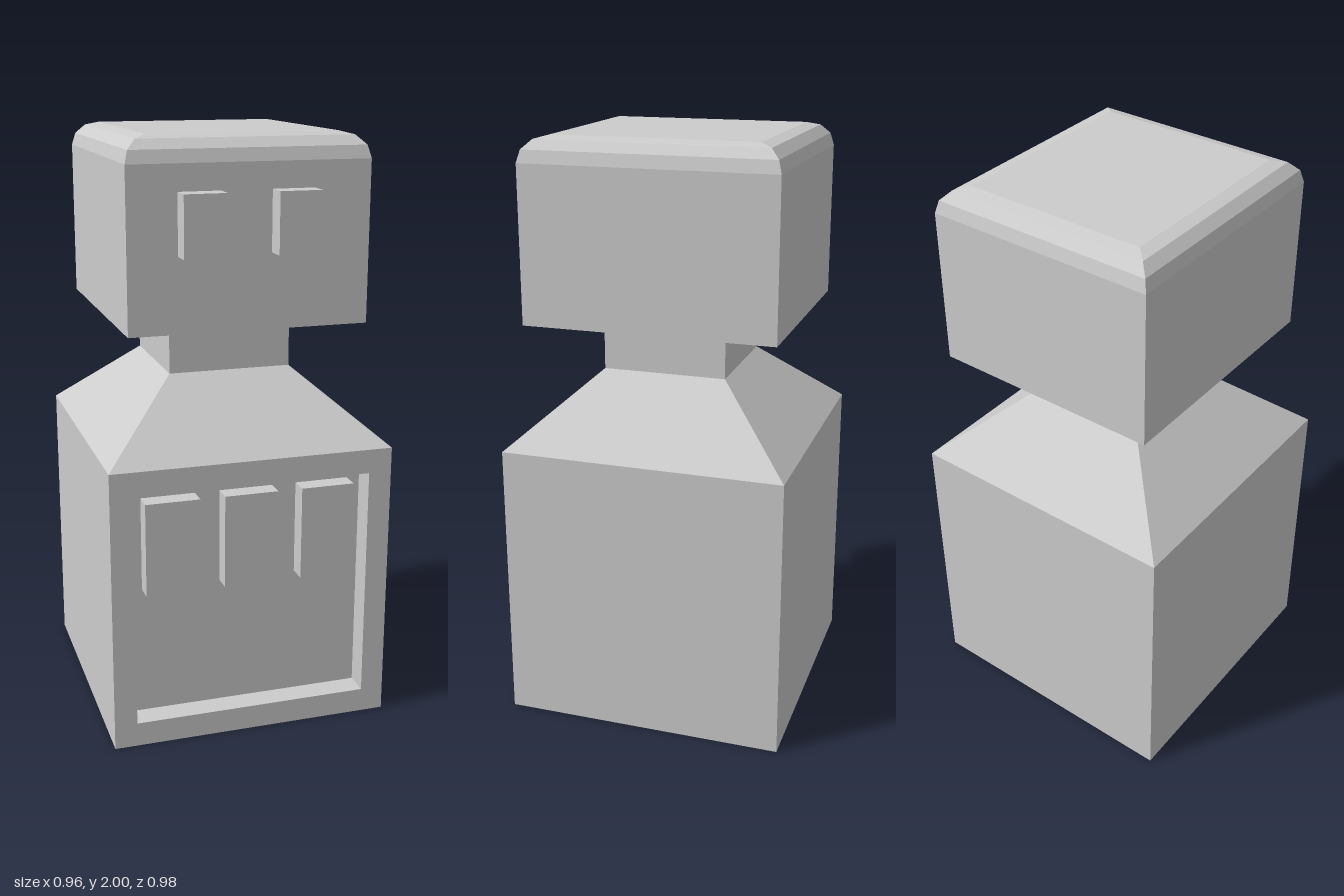
import * as THREE from 'three';

const grey = new THREE.MeshStandardMaterial({ color: 0xcccccc });
grey.name = 'grey';
grey.flatShading = true;

// box given by its limits on each axis
function block(name, x0, x1, y0, y1, z0, z1) {
  const mesh = new THREE.Mesh(new THREE.BoxGeometry(x1 - x0, y1 - y0, z1 - z0), grey);
  mesh.position.set((x0 + x1) / 2, (y0 + y1) / 2, (z0 + z1) / 2);
  mesh.name = name;
  return mesh;
}

// stack of rectangles [y, x0, x1, z0, z1], bottom to top, capped at both ends
function loft(name, rings) {
  const pos = [], index = [];
  for (const [y, x0, x1, z0, z1] of rings) pos.push(x0, y, z1, x1, y, z1, x1, y, z0, x0, y, z0);
  for (let r = 0; r < rings.length - 1; r++) {
    for (let i = 0; i < 4; i++) {
      const a = r * 4 + i, b = r * 4 + (i + 1) % 4;
      index.push(a, b, b + 4, a, b + 4, a + 4);
    }
  }
  const t = (rings.length - 1) * 4;
  index.push(0, 2, 1, 0, 3, 2, t, t + 1, t + 2, t, t + 2, t + 3);
  const indexed = new THREE.BufferGeometry();
  indexed.setAttribute('position', new THREE.Float32BufferAttribute(pos, 3));
  indexed.setIndex(index);
  const geometry = indexed.toNonIndexed();
  geometry.computeVertexNormals();
  const mesh = new THREE.Mesh(geometry, grey);
  mesh.name = name;
  return mesh;
}

function rectangle(PathType, x0, x1, y0, y1) {
  return new PathType([[x0, y0], [x1, y0], [x1, y1], [x0, y1]].map(([x, y]) => new THREE.Vector2(x, y)));
}

export function createModel() {
  const model = new THREE.Group();
  model.name = 'robot';

  // body with a recessed chest panel
  model.add(block('body', -0.482, 0.482, 0, 0.97, -0.492, 0.39));
  const outline = rectangle(THREE.Shape, -0.482, 0.482, 0, 0.97);
  outline.holes.push(rectangle(THREE.Path, -0.405, 0.403, 0.083, 0.888));
  const frame = new THREE.Mesh(new THREE.ExtrudeGeometry(outline, { depth: 0.084, bevelEnabled: false }), grey);
  frame.position.z = 0.39;
  frame.name = 'chestFrame';
  model.add(frame);

  // buttons inside the panel
  for (const x of [-0.27, -0.002, 0.265]) {
    model.add(block('chestButton', x - 0.092, x + 0.092, 0.53, 0.85, 0.39, 0.455));
  }

  // sloping shoulders and neck
  model.add(loft('shoulders', [
    [0.97, -0.482, 0.482, -0.492, 0.474],
    [1.21, -0.212, 0.208, -0.22, 0.205],
  ]));
  model.add(block('neck', -0.212, 0.208, 1.21, 1.39, -0.22, 0.205));

  // head with a rounded top edge
  const radius = 0.083, rings = [[1.39, -0.399, 0.396, -0.438, 0.419]];
  for (let i = 0; i <= 3; i++) {
    const a = i * Math.PI / 6, inset = radius * (1 - Math.cos(a));
    rings.push([2 - radius + radius * Math.sin(a),
      -0.399 + inset, 0.396 - inset, -0.438 + inset, 0.419 - inset]);
  }
  model.add(loft('head', rings));

  // eyes
  for (const x of [-0.168, 0.137]) {
    model.add(block('eye', x - 0.069, x + 0.069, 1.635, 1.832, 0.419, 0.49));
  }
  return model;
}
